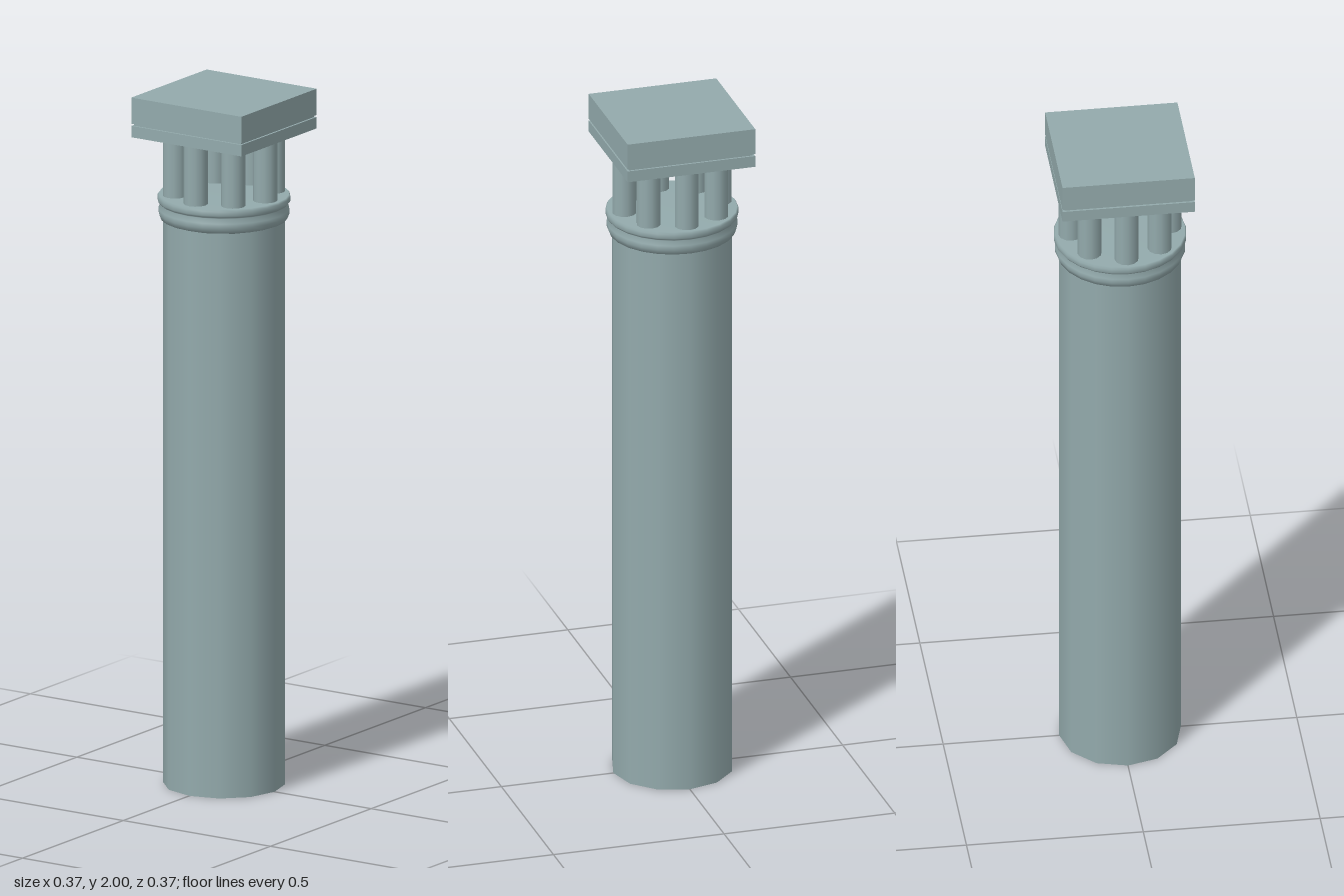
import * as THREE from 'three';

const SIDES = 12;

export function createModel() {
  const group = new THREE.Group();
  const stone = new THREE.MeshStandardMaterial({ color: 0x93aaac });

  const add = (name, geometry, x, y, z) => {
    const mesh = new THREE.Mesh(geometry, stone);
    mesh.name = name;
    mesh.position.set(x, y, z);
    group.add(mesh);
    return mesh;
  };

  // Plain round shaft
  add('shaft', new THREE.CylinderGeometry(0.172, 0.172, 1.65, SIDES), 0, 0.825, 0);

  // Collar: a rounded lower band and a thin lip above it
  const collar = [
    [0.165, 1.635], [0.178, 1.64], [0.184, 1.655], [0.184, 1.668], [0.178, 1.682],
    [0.183, 1.686], [0.187, 1.692], [0.187, 1.704], [0.183, 1.71], [0, 1.71],
  ].map(([r, y]) => new THREE.Vector2(r, y));
  add('collar', new THREE.LatheGeometry(collar, SIDES * 2), 0, 0, 0);

  // Ring of eight small posts carrying the cap
  const post = new THREE.CylinderGeometry(0.034, 0.034, 0.185, SIDES);
  for (let i = 0; i < 8; i++) {
    const a = (i * Math.PI) / 4;
    add('post', post, 0.14 * Math.sin(a), 1.7975, 0.14 * Math.cos(a));
  }

  // Square cap: thin slab, narrow recess, thick slab
  const slab = (name, width, y0, y1) =>
    add(name, new THREE.BoxGeometry(width, y1 - y0, width), 0, (y0 + y1) / 2, 0);
  slab('lowerSlab', 0.374, 1.885, 1.918);
  slab('capRecess', 0.362, 1.918, 1.924);
  slab('upperSlab', 0.374, 1.924, 2);

  return group;
}
